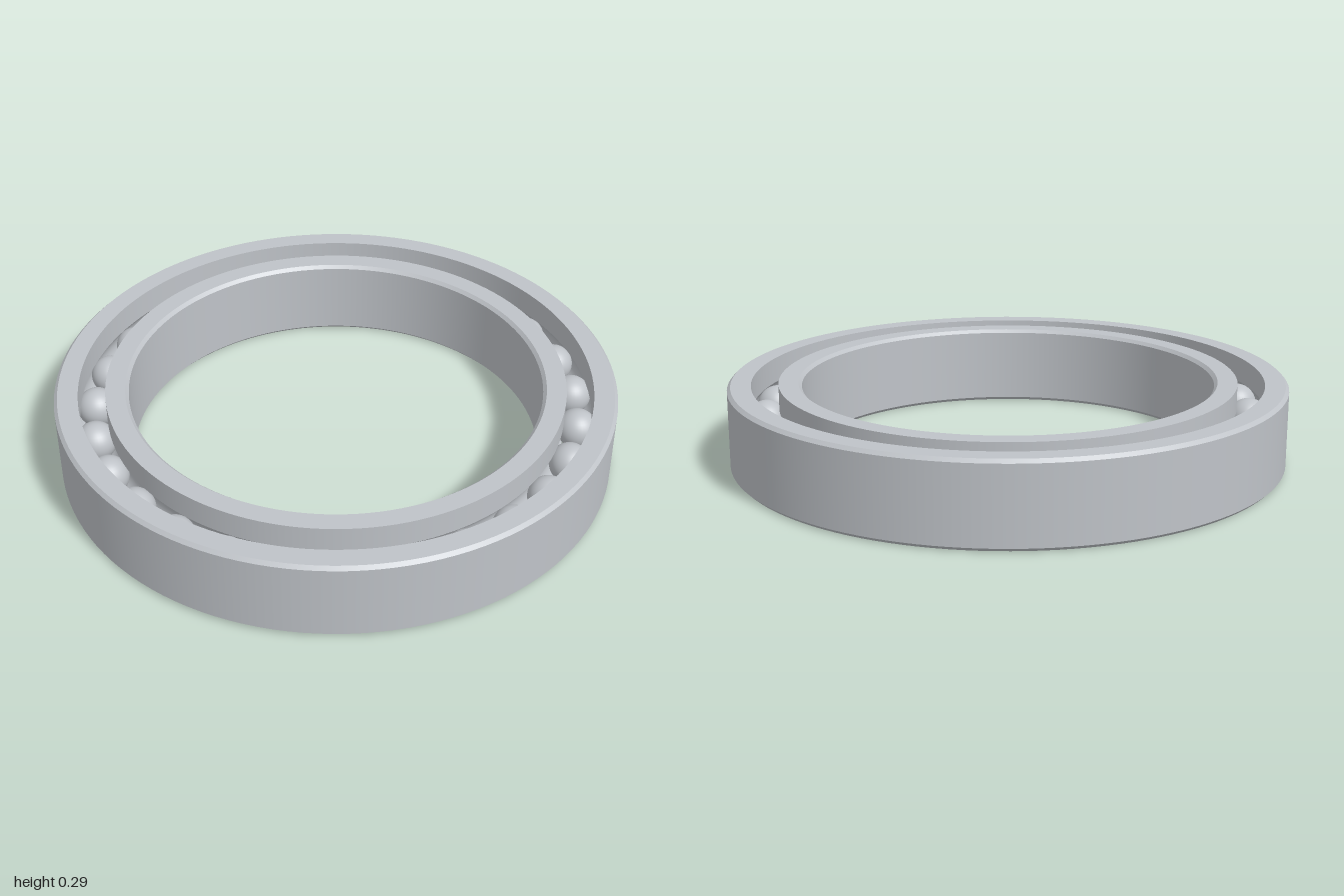
import * as THREE from 'three';
import { mergeGeometries } from 'three/addons/utils/BufferGeometryUtils.js';

const HEIGHT = 0.295, MID = HEIGHT / 2, PITCH = 0.868;
const BALL = 0.073, HALF_GAP = 0.048, CHAMFER = 0.012, BALLS = 27;

// Raceway arc about the ball centre, as [radius, height] points
function raceway(from, to) {
  return Array.from({ length: 13 }, (_, i) => {
    const a = from + (to - from) * i / 12;
    return [PITCH + BALL * Math.cos(a), MID + BALL * Math.sin(a)];
  });
}

// Revolve each profile piece separately, so corners between pieces stay sharp
function revolve(pieces) {
  return mergeGeometries(pieces.map(piece =>
    new THREE.LatheGeometry(piece.map(([r, y]) => new THREE.Vector2(r, y)), 128)));
}

// Consecutive straight edges of a profile
const edges = points => points.slice(1).map((p, i) => [points[i], p]);

export function createModel() {
  const model = new THREE.Group();
  model.name = 'ballBearing';
  const steel = new THREE.MeshStandardMaterial({ color: 0xbfc3c8 });
  steel.name = 'steel';
  const add = (geometry, name, parent = model) => {
    const mesh = new THREE.Mesh(geometry, steel);
    mesh.name = name;
    parent.add(mesh);
    return mesh;
  };
  const half = Math.acos(HALF_GAP / BALL);

  // Outer ring: chamfered outside, grooved inside
  const outerGroove = raceway(half, -half);
  const shoulderOut = PITCH + HALF_GAP;
  add(revolve([
    ...edges([
      outerGroove[12], [shoulderOut, 0], [1 - CHAMFER, 0], [1, CHAMFER],
      [1, HEIGHT - CHAMFER], [1 - CHAMFER, HEIGHT], [shoulderOut, HEIGHT], outerGroove[0],
    ]),
    outerGroove,
  ]), 'outerRing');

  // Inner ring: chamfered bore, grooved outside
  const innerGroove = raceway(Math.PI + half, Math.PI - half);
  const shoulderIn = PITCH - HALF_GAP, bore = 0.738;
  add(revolve([
    ...edges([
      innerGroove[12], [shoulderIn, HEIGHT], [bore + CHAMFER, HEIGHT], [bore, HEIGHT - CHAMFER],
      [bore, CHAMFER], [bore + CHAMFER, 0], [shoulderIn, 0], innerGroove[0],
    ]),
    innerGroove,
  ]), 'innerRing');

  // Evenly spaced balls between the rings
  const balls = new THREE.Group();
  balls.name = 'balls';
  model.add(balls);
  const ballGeometry = new THREE.SphereGeometry(BALL - 0.001, 32, 20);
  for (let i = 0; i < BALLS; i++) {
    const a = i / BALLS * Math.PI * 2;
    add(ballGeometry, 'ball', balls).position.set(PITCH * Math.cos(a), MID, PITCH * Math.sin(a));
  }
  return model;
}
